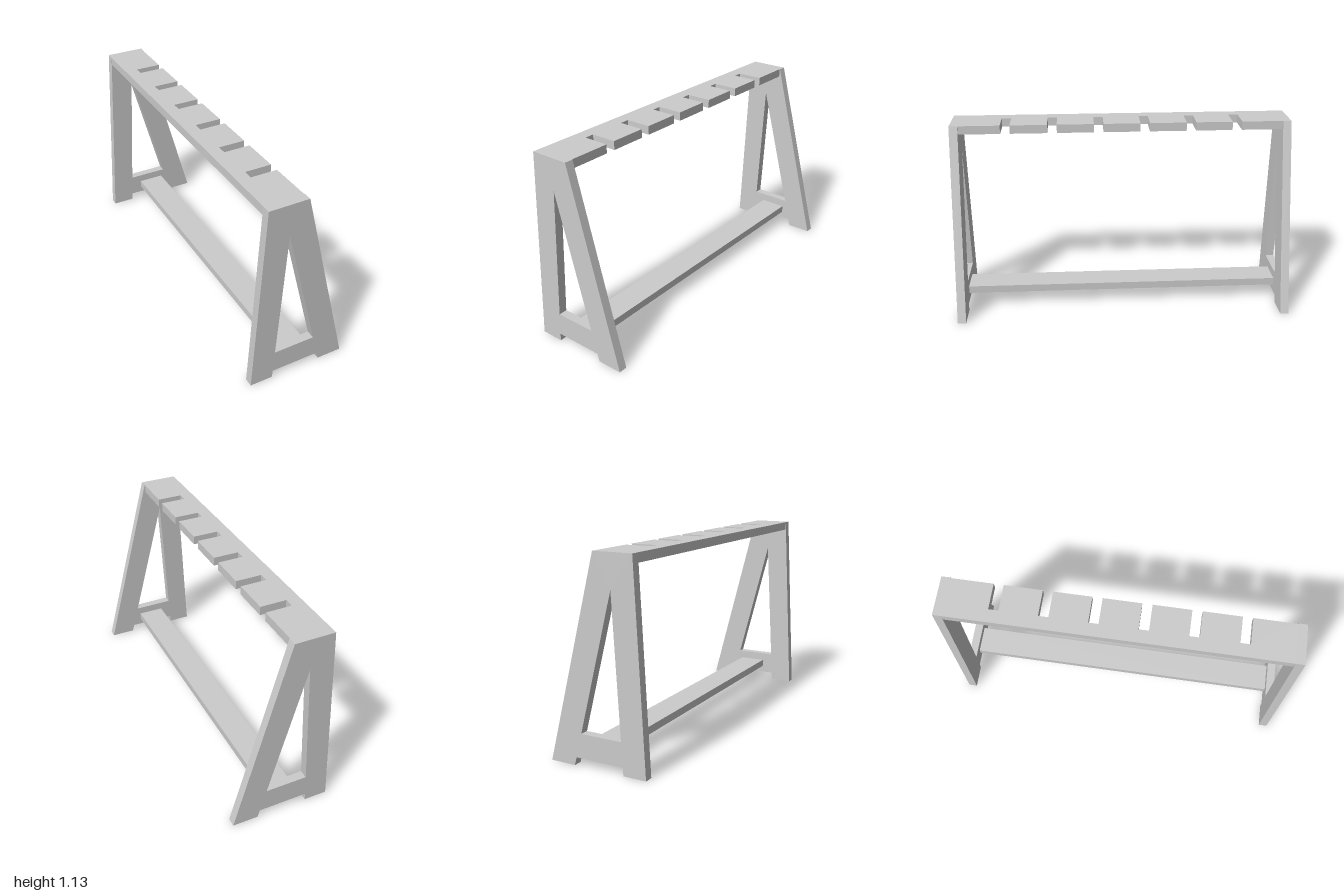
import * as THREE from 'three';

const HEIGHT = 1.13, THICK = 0.05, HALF = 1;
const material = new THREE.MeshStandardMaterial({ color: 0xcccccc, flatShading: true });

const points = (list) => list.map(([x, y]) => new THREE.Vector2(x, y));

function addMesh(group, name, geometry) {
  const mesh = new THREE.Mesh(geometry, material);
  mesh.name = name;
  group.add(mesh);
  return mesh;
}

// A-shaped end frame: two splayed legs joined by a low crossbar
function endFrameGeometry() {
  const apex = [-0.105, 0.946];
  const leftFoot = -0.158, rightFoot = 0.143;
  const inner = (foot, y) => [foot + (apex[0] - foot) * y / apex[1], y];
  const barBottom = 0.045, barTop = 0.18;
  const shape = new THREE.Shape(points([
    [-0.292, 0], [leftFoot, 0], inner(leftFoot, barBottom),
    inner(rightFoot, barBottom), [rightFoot, 0], [0.292, 0],
    [-0.004, HEIGHT], [-0.233, HEIGHT],
  ]));
  shape.holes.push(new THREE.Path(points([
    inner(leftFoot, barTop), apex, inner(rightFoot, barTop),
  ])));
  return new THREE.ExtrudeGeometry(shape, { depth: THICK, bevelEnabled: false });
}

// Top rack board with open slots along its +x edge
function rackGeometry() {
  const end = HALF - THICK, back = -0.233, front = -0.007, slotBack = -0.158;
  const slots = 6, pitch = 0.272, halfSlot = 0.028;
  const outline = [[back, -end], [front, -end]];
  for (let i = 0; i < slots; i++) {
    const z = (i - (slots - 1) / 2) * pitch;
    outline.push([front, z - halfSlot], [slotBack, z - halfSlot],
      [slotBack, z + halfSlot], [front, z + halfSlot]);
  }
  outline.push([front, end], [back, end]);
  const geometry = new THREE.ExtrudeGeometry(new THREE.Shape(points(outline)),
    { depth: THICK, bevelEnabled: false });
  return geometry.rotateX(Math.PI / 2); // lay flat, top face at y = 0
}

export function createModel() {
  const group = new THREE.Group();
  group.name = 'slottedRack';

  const frame = endFrameGeometry();
  addMesh(group, 'frontFrame', frame).position.z = HALF - THICK;
  addMesh(group, 'backFrame', frame).position.z = -HALF;

  addMesh(group, 'slottedTopBoard', rackGeometry()).position.y = HEIGHT;

  // Lower plank between the two crossbars
  const plank = new THREE.BoxGeometry(0.162, 0.045, 2 * (HALF - THICK));
  addMesh(group, 'lowerPlank', plank).position.set(-0.004, 0.109, 0);

  return group;
}
